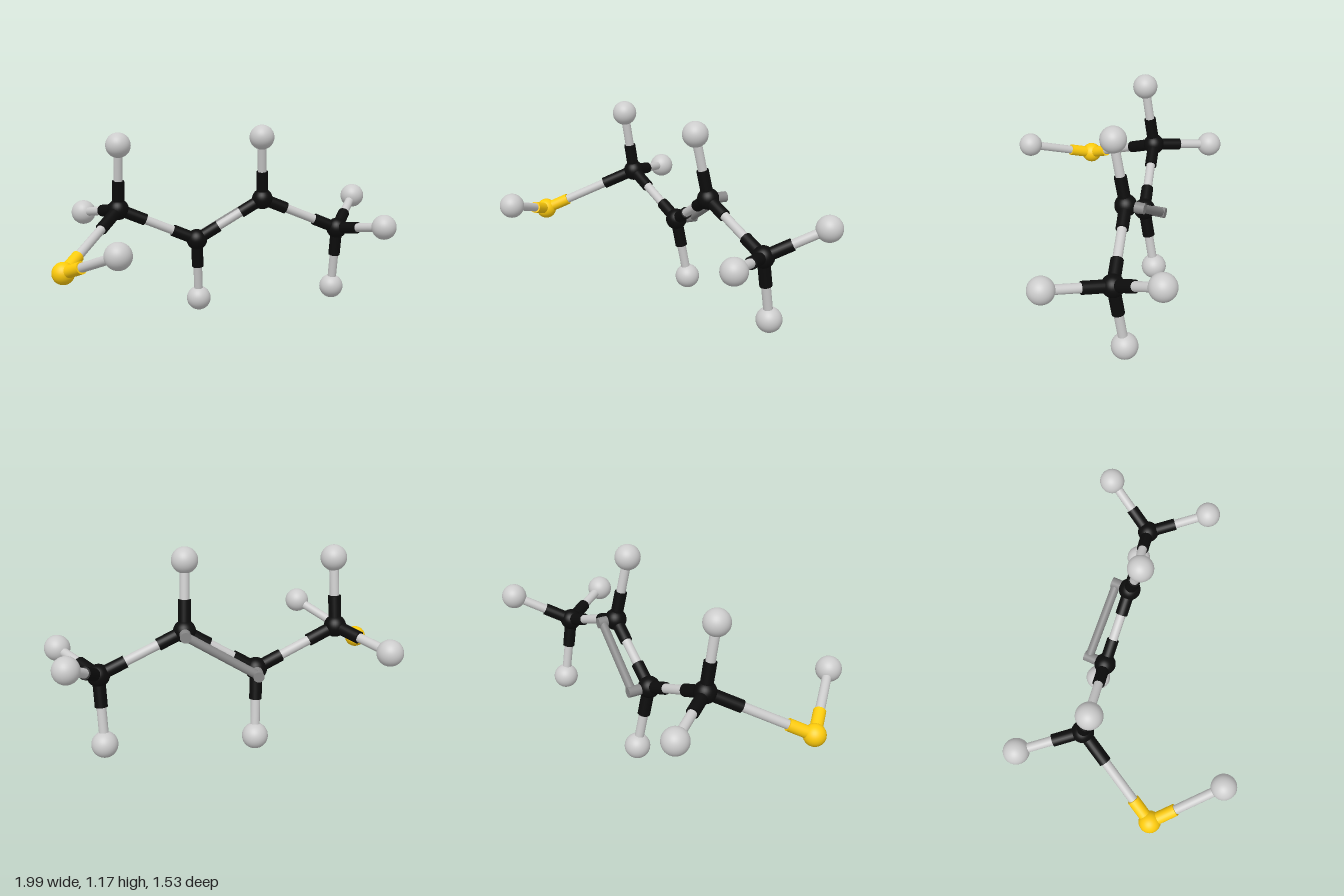
import * as THREE from 'three';

const grey = new THREE.MeshStandardMaterial({ color: 0xcccccc });
const darkGrey = new THREE.MeshStandardMaterial({ color: 0x888888 });
const black = new THREE.MeshStandardMaterial({ color: 0x0c0c0c });
const yellow = new THREE.MeshStandardMaterial({ color: 0xffcc0c });

const ROD = 0.027, SLEEVE = 0.036;

// Atom centres
const atoms = {
  sulfur: [-0.935, 0.39, 0.38],
  carbon1: [-0.675, 0.667, -0.15],
  carbon2: [-0.205, 0.463, -0.252],
  carbon3: [0.2, 0.711, -0.273],
  carbon4: [0.68, 0.509, -0.378],
  hydrogenS: [-0.606, 0.543, 0.688],
  hydrogen1a: [-0.664, 1.056, -0.085],
  hydrogen1b: [-0.921, 0.609, -0.45],
  hydrogen2: [-0.195, 0.076, -0.328],
  hydrogen3: [0.19, 1.095, -0.19],
  hydrogen4a: [0.827, 0.677, -0.69],
  hydrogen4b: [0.92, 0.56, -0.078],
  hydrogen4c: [0.66, 0.12, -0.442],
};

// Bonds: ends, and the fraction of the length sleeved at each end
const bonds = [
  ['carbon1', 'sulfur', 0.33, 0.25],
  ['sulfur', 'hydrogenS', 0.35, 0],
  ['carbon1', 'carbon2', 0.34, 0.31],
  ['carbon2', 'carbon3', 0.33, 0.33],
  ['carbon3', 'carbon4', 0.31, 0.31],
  ['carbon1', 'hydrogen1a', 0.45, 0],
  ['carbon1', 'hydrogen1b', 0.45, 0],
  ['carbon2', 'hydrogen2', 0.45, 0],
  ['carbon3', 'hydrogen3', 0.45, 0],
  ['carbon4', 'hydrogen4a', 0.45, 0],
  ['carbon4', 'hydrogen4b', 0.45, 0],
  ['carbon4', 'hydrogen4c', 0.45, 0],
];

const point = (name) => new THREE.Vector3(...atoms[name]);
const atomMaterial = (name) =>
  name.startsWith('carbon') ? black : name === 'sulfur' ? yellow : grey;

// Cylinder between two points
function rod(name, a, b, radius, material) {
  const dir = b.clone().sub(a);
  const mesh = new THREE.Mesh(
    new THREE.CylinderGeometry(radius, radius, dir.length(), 24), material);
  mesh.position.copy(a).add(b).multiplyScalar(0.5);
  mesh.quaternion.setFromUnitVectors(new THREE.Vector3(0, 1, 0), dir.normalize());
  mesh.name = name;
  return mesh;
}

export function createModel() {
  const model = new THREE.Group();
  model.name = 'molecule';

  // Atom balls
  for (const name of Object.keys(atoms)) {
    const radius = name.startsWith('hydrogen') ? 0.075 : 0.064;
    const ball = new THREE.Mesh(new THREE.SphereGeometry(radius, 32, 20), atomMaterial(name));
    ball.position.copy(point(name));
    ball.name = name;
    model.add(ball);
  }

  // Bonds with coloured sleeves next to the heavy atoms
  for (const [from, to, sleeveA, sleeveB] of bonds) {
    const a = point(from), b = point(to);
    const bond = new THREE.Group();
    bond.name = `bond ${from} to ${to}`;
    bond.add(rod('bondRod', a, b, ROD, grey));
    bond.add(rod('sleeve', a, a.clone().lerp(b, sleeveA), SLEEVE, atomMaterial(from)));
    if (sleeveB) bond.add(rod('sleeve', b, b.clone().lerp(a, sleeveB), SLEEVE, atomMaterial(to)));
    model.add(bond);
  }

  // Second bar of the double bond, carried on two pegs behind the middle carbons
  const doubleBond = new THREE.Group();
  doubleBond.name = 'doubleBond';
  const ends = ['carbon2', 'carbon3'].map((name) => {
    const c = point(name);
    const tip = new THREE.Vector3(c.x, c.y, -0.385);
    doubleBond.add(rod('peg', c, tip, 0.031, darkGrey));
    return tip.clone().setZ(-0.358);
  });
  doubleBond.add(rod('secondBar', ends[0], ends[1], 0.025, darkGrey));
  model.add(doubleBond);

  return model;
}
